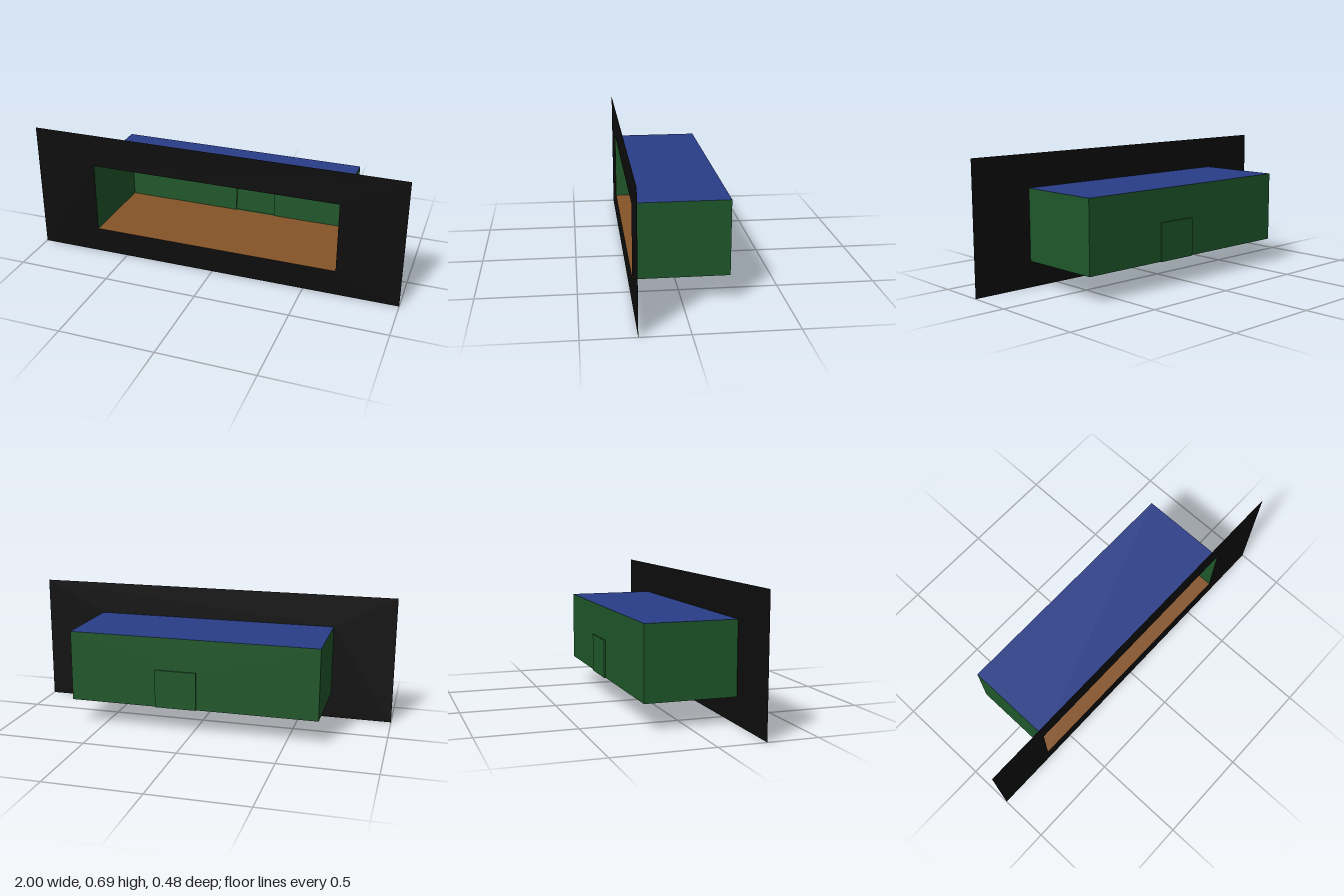
import * as THREE from 'three';

// Main dimensions: room opening, depth and door recess
const W = 0.667, FLOOR = 0.137, CEIL = 0.515;
const FRONT = 0.24, BACK = -0.231, DOOR_BACK = -0.24;
const DOOR_L = -0.025, DOOR_R = 0.197, DOOR_TOP = 0.34;

const paint = (color) => new THREE.MeshStandardMaterial({ color, side: THREE.DoubleSide });

function polygon(points) {
  return new THREE.Shape(points.map(([x, y]) => new THREE.Vector2(x, y)));
}

const rectangle = (x0, y0, x1, y1) => [[x0, y0], [x1, y0], [x1, y1], [x0, y1]];

export function createModel() {
  const group = new THREE.Group();
  const green = paint(0x1f582a), blue = paint(0x2a3d88);
  const brown = paint(0x855429), black = paint(0x0d0d0d);

  const add = (name, geometry, material, x = 0, y = 0, z = 0) => {
    const mesh = new THREE.Mesh(geometry, material);
    mesh.name = name;
    mesh.position.set(x, y, z);
    group.add(mesh);
  };

  // Upright sheet facing the front
  const sheet = (name, shape, material, z) =>
    add(name, new THREE.ShapeGeometry(shape), material, 0, 0, z);

  // Level sheet spanning x0..x1 and z0..z1, facing up or down
  const level = (name, material, x0, x1, y, z0, z1, up) =>
    add(name, new THREE.PlaneGeometry(x1 - x0, z1 - z0).rotateX(up ? -Math.PI / 2 : Math.PI / 2),
      material, (x0 + x1) / 2, y, (z0 + z1) / 2);

  // Side sheet spanning y0..y1 and z0..z1, facing +x or -x
  const side = (name, x, y0, y1, z0, z1, dir) =>
    add(name, new THREE.PlaneGeometry(z1 - z0, y1 - y0).rotateY(dir * Math.PI / 2),
      green, x, (y0 + y1) / 2, (z0 + z1) / 2);

  // Front surround with the room opening
  const surround = polygon(rectangle(-1, 0, 1, 0.69));
  surround.holes.push(polygon(rectangle(-W, FLOOR, W, CEIL)));
  sheet('frontSurround', surround, black, FRONT);

  // Room shell
  level('floor', brown, -W, W, FLOOR, BACK, FRONT, true);
  level('ceiling', blue, -W, W, CEIL, BACK, FRONT, true);
  side('leftWall', W, FLOOR, CEIL, BACK, FRONT, 1);
  side('rightWall', -W, FLOOR, CEIL, BACK, FRONT, -1);

  // Back wall notched around the doorway
  sheet('backWall', polygon([
    [-W, FLOOR], [DOOR_L, FLOOR], [DOOR_L, DOOR_TOP], [DOOR_R, DOOR_TOP],
    [DOOR_R, FLOOR], [W, FLOOR], [W, CEIL], [-W, CEIL],
  ]), green, BACK);

  // Recessed door
  sheet('door', polygon(rectangle(DOOR_L, FLOOR, DOOR_R, DOOR_TOP)), green, DOOR_BACK);
  level('doorHead', green, DOOR_L, DOOR_R, DOOR_TOP, DOOR_BACK, BACK, true);
  level('doorSill', green, DOOR_L, DOOR_R, FLOOR, DOOR_BACK, BACK, false);
  side('doorJambLeft', DOOR_R, FLOOR, DOOR_TOP, DOOR_BACK, BACK, 1);
  side('doorJambRight', DOOR_L, FLOOR, DOOR_TOP, DOOR_BACK, BACK, -1);

  return group;
}
